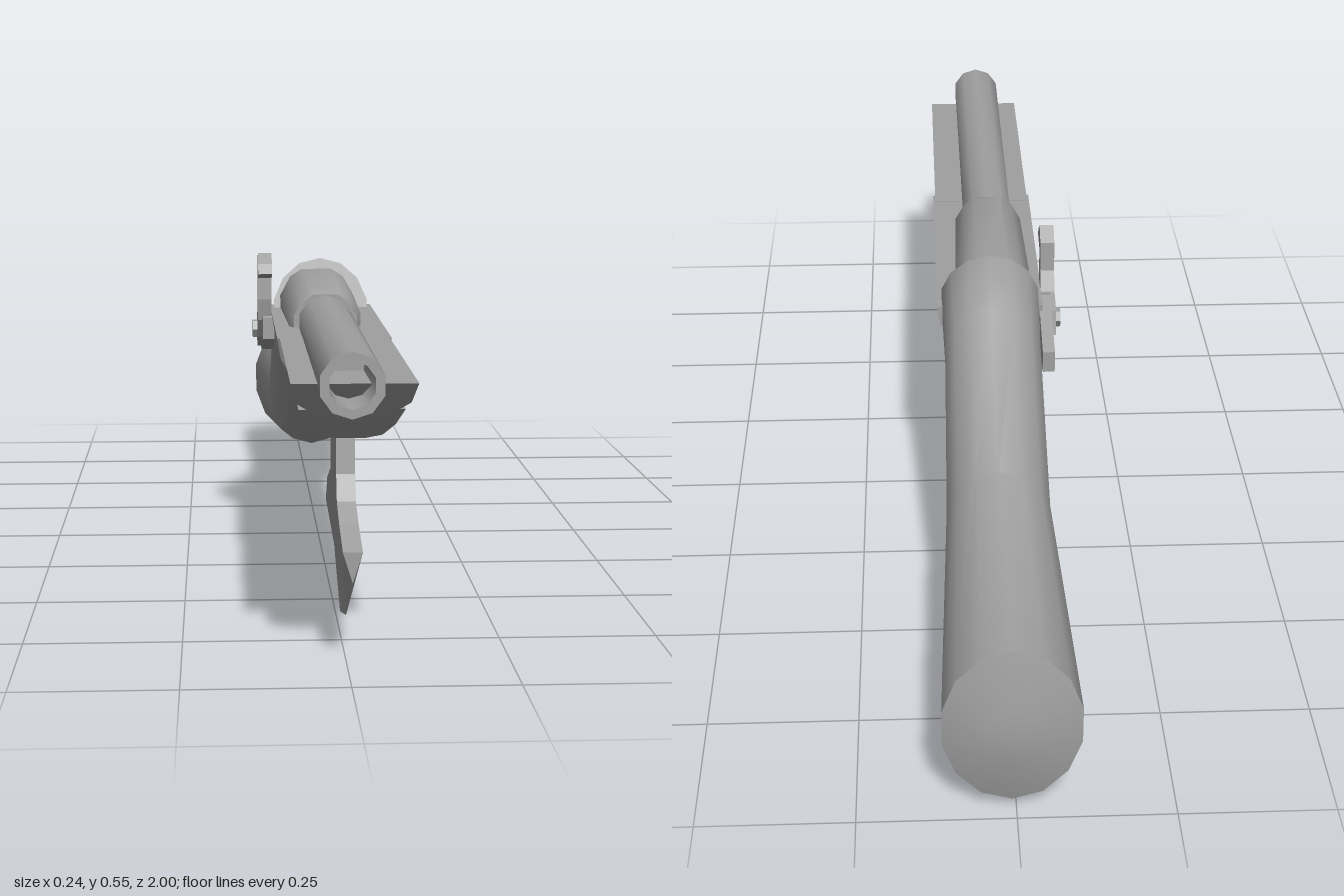
import * as THREE from 'three';
import { toCreasedNormals } from 'three/addons/utils/BufferGeometryUtils.js';

const steel = new THREE.MeshStandardMaterial({ color: 0xa0a0a0 });
steel.name = 'plain grey';

// Closed rings of [x, y, z], ordered rear to front, counterclockwise seen from +z.
function loft(rings, crease = 0.6) {
  const pos = [];
  const tri = (a, b, c) => pos.push(...a, ...b, ...c);
  const n = rings[0].length;
  const centre = (r) => [0, 1, 2].map((k) => r.reduce((s, p) => s + p[k], 0) / n);
  const last = rings[rings.length - 1];
  for (let j = 0; j < n; j++) {
    const k = (j + 1) % n;
    for (let i = 0; i < rings.length - 1; i++) {
      const a = rings[i], b = rings[i + 1];
      tri(a[j], a[k], b[k]);
      tri(a[j], b[k], b[j]);
    }
    tri(centre(rings[0]), rings[0][k], rings[0][j]);
    tri(centre(last), last[j], last[k]);
  }
  const g = new THREE.BufferGeometry();
  g.setAttribute('position', new THREE.Float32BufferAttribute(pos, 3));
  g.computeVertexNormals();
  return toCreasedNormals(g, crease);
}

// Oval section spanned by a top point, a bottom point (z, y) and a half width.
function oval([zt, yt, zb, yb, hw], cx = 0.007, sides = 14) {
  const ring = [];
  for (let i = 0; i < sides; i++) {
    const a = (i / sides) * Math.PI * 2 + Math.PI / 2;
    const s = Math.sin(a) / 2;
    ring.push([cx + hw * Math.cos(a), (yt + yb) / 2 + (yt - yb) * s, (zt + zb) / 2 + (zt - zb) * s]);
  }
  return ring;
}

// Symmetric trough: half profile [x, y] from the rim down; front end raked back with depth.
function trough(half, z0, z1, rake, cx = 0.008) {
  const profile = [...half.map(([x, y]) => [-x, y]), ...half.slice().reverse()];
  const top = half[0][1], low = half[half.length - 1][1];
  return loft([0, 1].map((e) => profile.map(([x, y]) =>
    [cx + x, y, e ? z1 - rake * (top - y) / (top - low) : z0])));
}

// Plate with a side outline of [z, y] points, centred on x.
function plate(points, thickness, x, hole) {
  const toV = (l) => l.map(([z, y]) => new THREE.Vector2(z, y));
  const shape = new THREE.Shape(toV(points));
  if (hole) shape.holes.push(new THREE.Path(toV(hole)));
  const g = new THREE.ExtrudeGeometry(shape, { depth: thickness, bevelEnabled: false });
  g.rotateY(-Math.PI / 2);
  g.translate(x + thickness / 2, 0, 0);
  return g;
}

export function createModel() {
  const model = new THREE.Group();
  const add = (name, geometry) => {
    const m = new THREE.Mesh(geometry, steel);
    m.name = name;
    model.add(m);
    return m;
  };

  // Butt, wrist and shoulder
  add('stock', loft([
    [-1, 0.21, -1, 0.11, 0.04],
    [-0.98, 0.305, -0.975, 0.02, 0.111],
    [-0.48, 0.312, -0.43, 0.1, 0.092],
    [-0.21, 0.488, -0.2, 0.3, 0.088],
    [-0.15, 0.518, -0.12, 0.322, 0.09],
    [-0.08, 0.53, -0.02, 0.33, 0.092],
  ].map((s) => oval(s)), 0.75));

  // Fore-end: deep rear part, then an upper and a lower stepped rail
  add('rearForestock', trough([[0.098, 0.437], [0.092, 0.4], [0.07, 0.36], [0.035, 0.337]], -0.1, 0.41, 0.04));
  add('upperForestock', trough([[0.094, 0.438], [0.086, 0.405], [0.055, 0.383], [0.02, 0.372]], 0.38, 0.93, 0.06));
  add('lowerForestock', trough([[0.08, 0.39], [0.068, 0.362], [0.05, 0.342], [0.025, 0.336]], 0.38, 0.87, 0.06));

  // Hollow barrel
  const bore = [[0, 0.8], [0.032, 0.8], [0.035, 1], [0.049, 1], [0.049, 0.2], [0, 0.2]]
    .map(([r, z]) => new THREE.Vector2(r, z)).reverse();
  const barrel = new THREE.LatheGeometry(bore, 10);
  barrel.rotateX(Math.PI / 2);
  barrel.translate(0, 0.446, 0);
  add('barrel', toCreasedNormals(barrel, 0.7));

  // Faceted breech widening to the rear
  const breech = [[-0.12, 0.072, 0.51], [0.24, 0.064, 0.506], [0.265, 0.056, 0.496]].map(([z, w, top]) =>
    [[w, 0.41], [w, 0.46], [w * 0.72, top - 0.014], [w * 0.4, top], [-w * 0.4, top],
      [-w * 0.72, top - 0.014], [-w, 0.46], [-w, 0.41]].map(([x, y]) => [x, y, z]));
  add('breech', loft(breech, 0.7));

  // Axe blade, thinned to nothing along its cutting edge
  const edge = [[0.404, 0.075], [0.58, 0.002], [0.735, 0.038], [0.896, 0.13]];
  const blade = plate([...edge, [0.896, 0.178], [0.8, 0.2], [0.738, 0.222], [0.72, 0.262], [0.708, 0.36],
    [0.57, 0.36], [0.562, 0.242], [0.46, 0.206], [0.415, 0.158]], 0.03, 0.008);
  const p = blade.attributes.position;
  for (let i = 0; i < p.count; i++) {
    if (edge.some(([z, y]) => Math.hypot(z - p.getZ(i), y - p.getY(i)) < 1e-4)) p.setX(i, 0.008);
  }
  blade.computeVertexNormals();
  add('axeBlade', blade);

  // Trigger guard and trigger
  add('triggerGuard', plate(
    [[0.06, 0.345], [0.045, 0.305], [0.015, 0.265], [-0.025, 0.243], [-0.07, 0.235], [-0.14, 0.247],
      [-0.19, 0.28], [-0.215, 0.31], [-0.1, 0.345]], 0.045, 0.008,
    [[0.025, 0.335], [0.025, 0.305], [0, 0.277], [-0.03, 0.258], [-0.07, 0.25], [-0.13, 0.262],
      [-0.165, 0.288], [-0.175, 0.315], [-0.1, 0.335]]));
  add('trigger', plate([[-0.04, 0.34], [-0.055, 0.3], [-0.085, 0.262], [-0.095, 0.266],
    [-0.08, 0.3], [-0.075, 0.34]], 0.018, 0.008));

  // Side lock with curved hammer and pivot screw
  add('lockPlate', plate([[-0.2, 0.352], [-0.13, 0.345], [-0.03, 0.36], [0.02, 0.385], [0.02, 0.425],
    [-0.06, 0.438], [-0.2, 0.392]], 0.022, -0.095));
  add('hammer', plate([[-0.1, 0.375], [-0.06, 0.362], [-0.02, 0.385], [0.005, 0.42], [0.012, 0.46],
    [0.01, 0.5], [0.055, 0.512], [0.04, 0.53], [0.012, 0.548], [-0.018, 0.525], [-0.022, 0.47],
    [-0.04, 0.435], [-0.09, 0.42]], 0.026, -0.102));
  const screw = new THREE.CylinderGeometry(0.018, 0.018, 0.02, 6);
  screw.rotateZ(Math.PI / 2);
  screw.translate(-0.114, 0.395, -0.065);
  add('pivotScrew', toCreasedNormals(screw, 0.5));

  return model;
}
